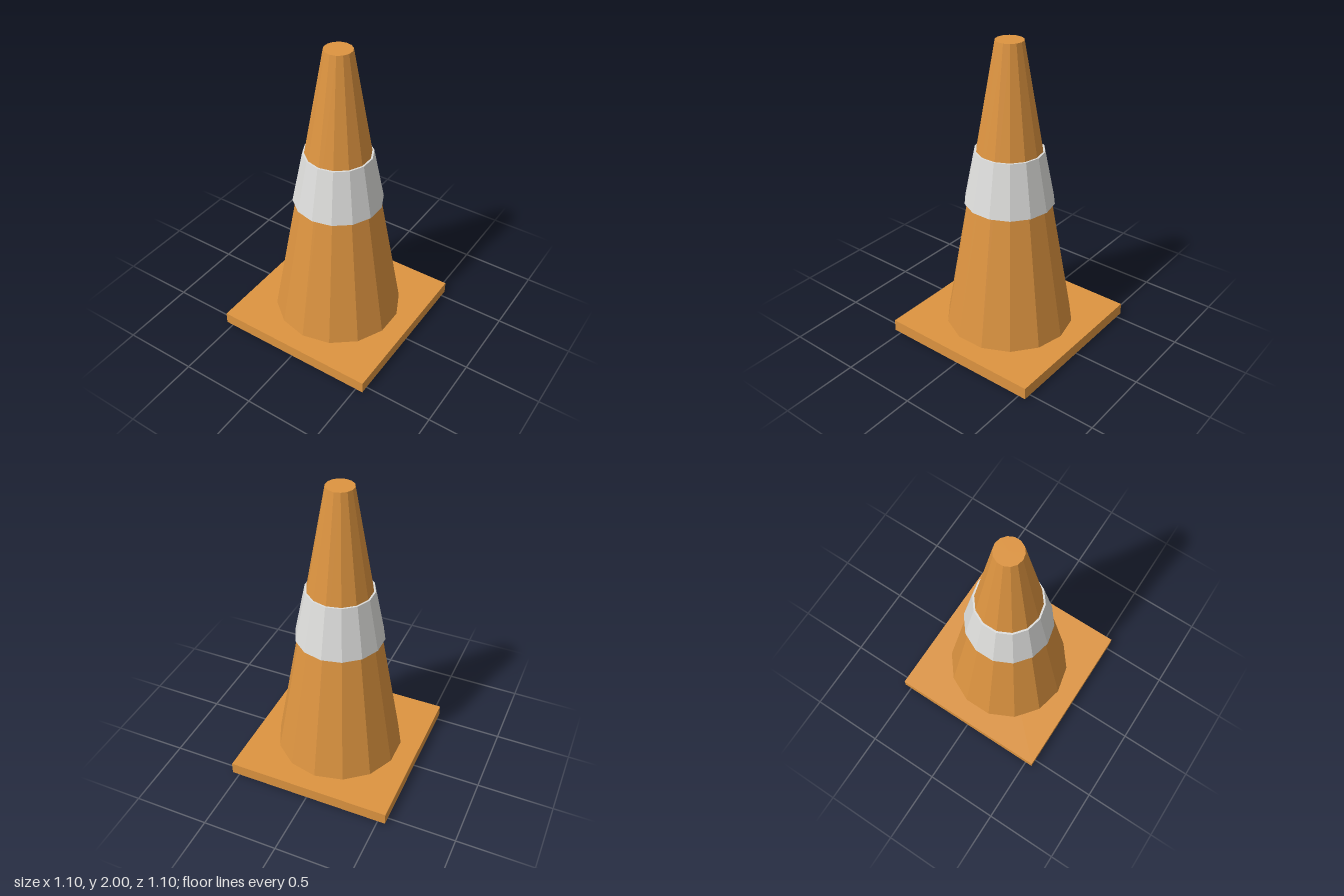
import * as THREE from 'three';

const SIDES = 14;

export function createModel() {
  const orange = new THREE.MeshStandardMaterial({ color: 0xdd9440, flatShading: true });
  orange.name = 'orange';
  const white = new THREE.MeshStandardMaterial({ color: 0xdededc, flatShading: true });
  white.name = 'offWhite';

  const group = new THREE.Group();
  group.name = 'trafficCone';

  function add(name, geometry, material, y) {
    const mesh = new THREE.Mesh(geometry, material);
    mesh.name = name;
    mesh.position.y = y;
    group.add(mesh);
  }

  // Faceted frustum standing between two heights
  function frustum(name, rTop, rBottom, y0, y1, material) {
    add(name, new THREE.CylinderGeometry(rTop, rBottom, y1 - y0, SIDES), material, (y0 + y1) / 2);
  }

  // Square foot plate
  add('base', new THREE.BoxGeometry(1.1, 0.08, 1.1), orange, 0.04);

  // Tapered body with a flat tip
  frustum('coneBody', 0.088, 0.425, 0.08, 2, orange);

  // Reflective sleeve, slightly proud of the body
  frustum('reflectiveBand', 0.221, 0.29, 0.96, 1.31, white);

  return group;
}
